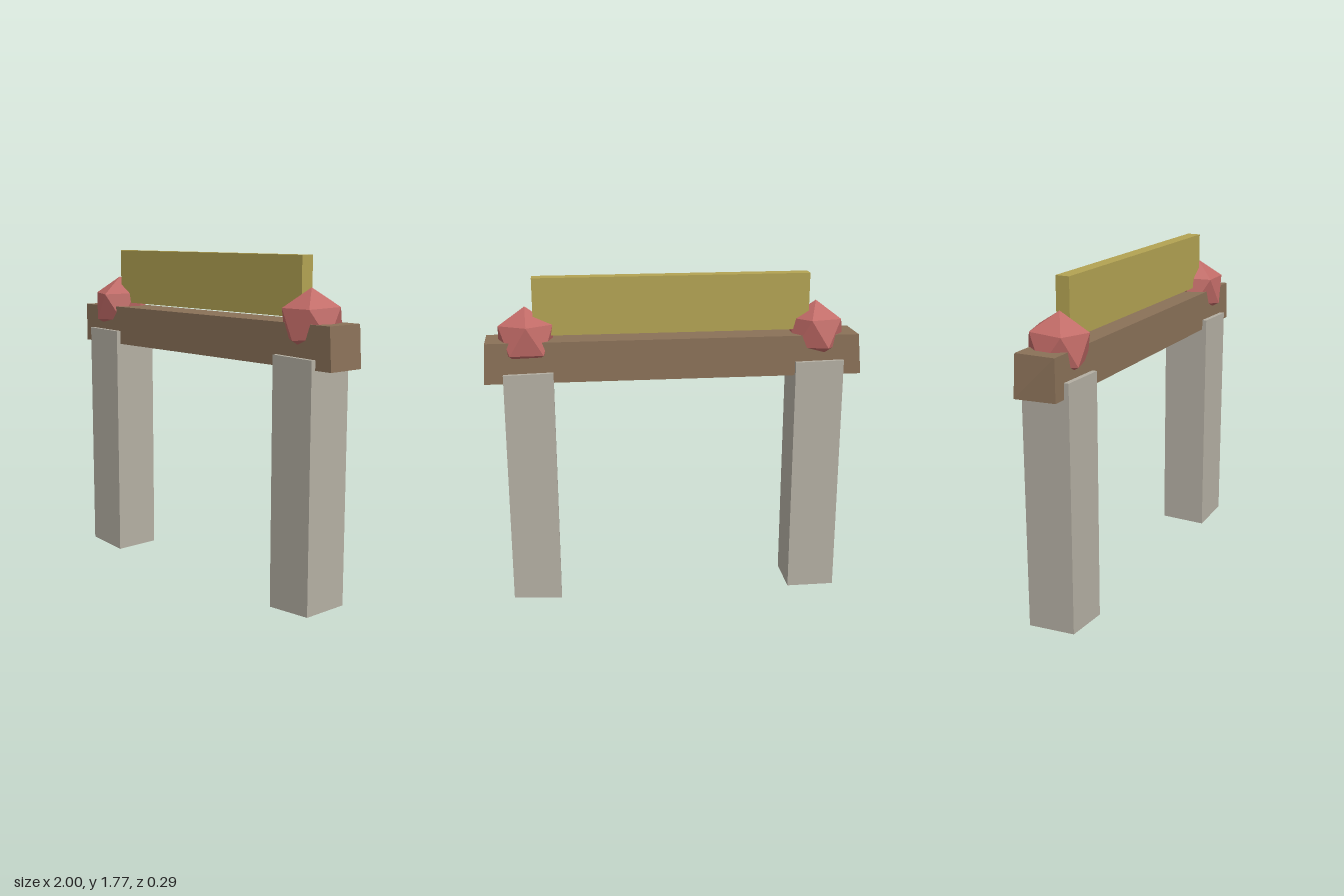
import * as THREE from 'three';

const material = (color) => new THREE.MeshStandardMaterial({ color, flatShading: true });
const stone = material(0xb4afa3);
const wood = material(0x8a7158);
const paint = material(0xb2a252);
const red = material(0xc06a66);

// Rough-hewn block between two corners; shift(x, y, z signs) returns a small corner offset
function block(name, min, max, mat, shift = () => [0, 0, 0]) {
  const geo = new THREE.BoxGeometry(2, 2, 2).toNonIndexed();
  const p = geo.attributes.position;
  for (let i = 0; i < p.count; i++) {
    const s = [p.getX(i), p.getY(i), p.getZ(i)];
    const d = shift(...s);
    p.setXYZ(i, ...s.map((v, k) => (v > 0 ? max[k] : min[k]) + d[k]));
  }
  geo.computeVertexNormals();
  const mesh = new THREE.Mesh(geo, mat);
  mesh.name = name;
  return mesh;
}

// Twenty-sided ball standing on one vertex, turned so an upper-ring vertex sits at the given angle
function ball(name, x, degrees) {
  const geo = new THREE.IcosahedronGeometry(0.166, 0);
  const tip = new THREE.Vector3(0, 1, (1 + Math.sqrt(5)) / 2).normalize();
  geo.applyQuaternion(new THREE.Quaternion().setFromUnitVectors(tip, new THREE.Vector3(0, 1, 0)));
  // Find one upper-ring vertex and bring it to the wanted angle
  const p = geo.attributes.position;
  let angle = 0;
  for (let i = 0; i < p.count; i++) {
    if (p.getY(i) > 0.05 && p.getY(i) < 0.1) angle = Math.atan2(p.getZ(i), p.getX(i));
  }
  geo.rotateY(angle - THREE.MathUtils.degToRad(degrees));
  geo.rotateX(0.05);
  const mesh = new THREE.Mesh(geo, red);
  mesh.name = name;
  mesh.position.set(x, 1.457, 0);
  return mesh;
}

export function createModel() {
  const model = new THREE.Group();
  model.name = 'gateway';

  // Posts with slightly uneven feet
  model.add(block('rightPost', [-0.9, 0, -0.13], [-0.64, 1.315, 0.13], stone,
    (x, y, z) => [0, y < 0 ? (x < 0 && z > 0 ? 0.022 : 0.004) : (x < 0 ? 0.005 : 0), 0]));
  model.add(block('leftPost', [0.64, 0, -0.13], [0.9, 1.29, 0.13], stone,
    (x, y) => [0, y < 0 ? (x > 0 ? 0.02 : 0.004) : (x < 0 ? 0.006 : 0), 0]));

  // Crossbeam with skewed ends
  model.add(block('beam', [-1, 1.24, -0.107], [1, 1.455, 0.105], wood,
    (x, y, z) => [x > 0 ? (y > 0 ? -0.013 : 0) : (z > 0 ? 0.025 : y > 0 ? 0.02 : 0), 0, 0]));

  // Upright board just above the beam
  model.add(block('signBoard', [-0.72, 1.476, -0.04], [0.737, 1.776, 0.034], paint));

  // Faceted balls over the posts
  model.add(ball('rightBall', -0.768, 74));
  model.add(ball('leftBall', 0.778, 52));
  return model;
}
